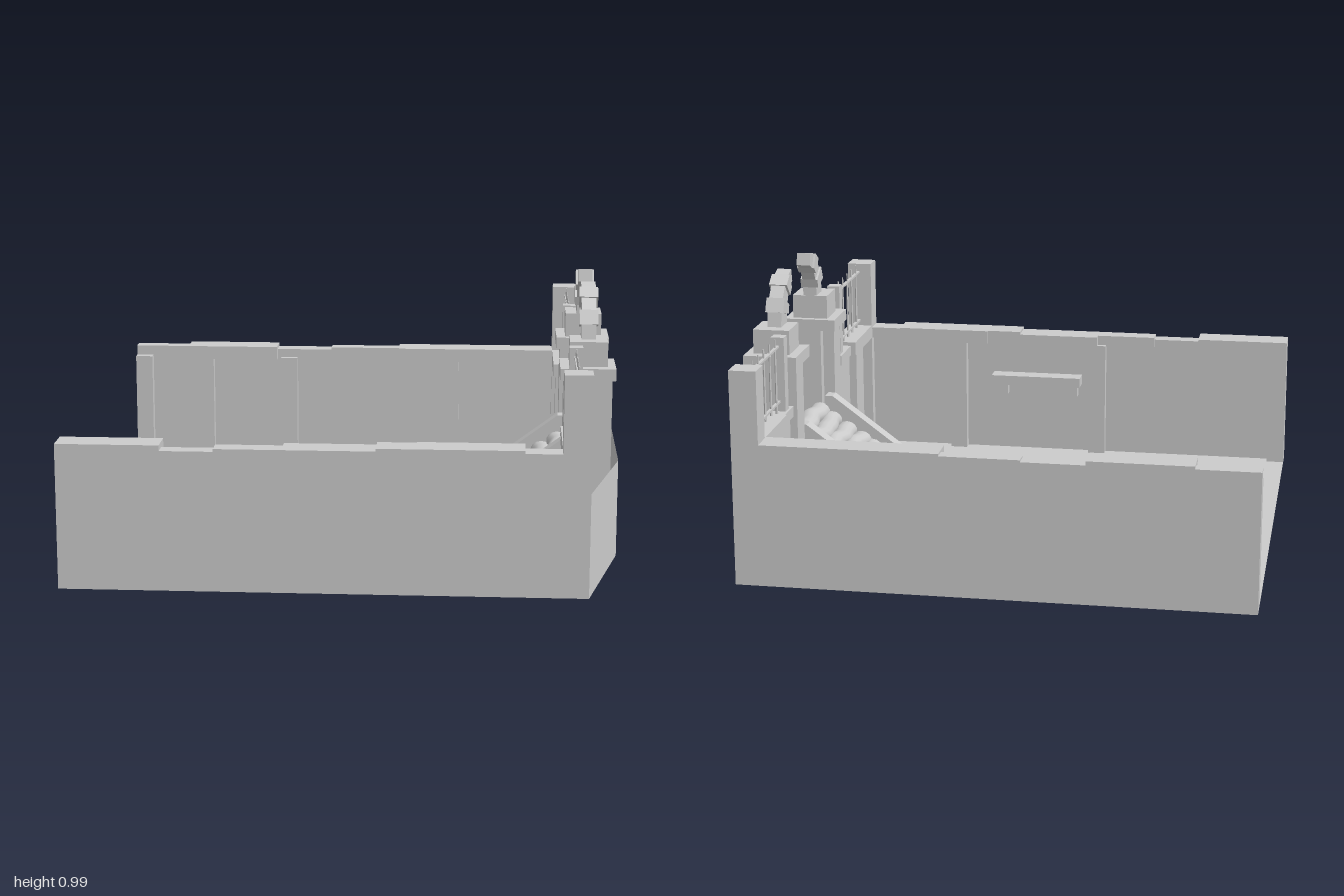
import * as THREE from 'three';

const material = new THREE.MeshStandardMaterial({ color: 0xcccccc, flatShading: true });
const smooth = new THREE.MeshStandardMaterial({ color: 0xcccccc });
const sheet = new THREE.MeshStandardMaterial({ color: 0xcccccc, flatShading: true, side: THREE.DoubleSide });

export function createModel() {
  const root = new THREE.Group();

  const add = (name, geometry, mat = material) => {
    const mesh = new THREE.Mesh(geometry, mat);
    mesh.name = name;
    root.add(mesh);
    return mesh;
  };
  // Box given by its limits; z limits may come in either order
  const box = (name, x0, x1, y0, y1, z0, z1) =>
    add(name, new THREE.BoxGeometry(x1 - x0, y1 - y0, Math.abs(z1 - z0))
      .translate((x0 + x1) / 2, (y0 + y1) / 2, (z0 + z1) / 2));
  const prism = (points, depth) => new THREE.ExtrudeGeometry(
    new THREE.Shape(points.map(([x, y]) => new THREE.Vector2(x, y))), { depth, bevelEnabled: false });

  box('floor', -1, 0.88, 0, 0.004, -0.94, 0.94);

  // Side walls: [x start, x end, top, inner z] for each coping slab, and pilaster positions
  const sides = [
    { s: 1, pilasters: [-0.965, -0.2, 0.4],
      coping: [[-1, -0.63, 0.53, 0.83], [-0.63, -0.44, 0.51, 0.88], [-0.44, -0.2, 0.52, 0.87],
        [-0.2, 0.13, 0.52, 0.835], [0.13, 0.27, 0.53, 0.84], [0.27, 0.65, 0.53, 0.83], [0.65, 0.79, 0.52, 0.86]] },
    { s: -1, pilasters: [-0.965, -0.7, -0.34, 0.35],
      coping: [[-1, -0.77, 0.52, 0.885], [-0.77, -0.39, 0.53, 0.835], [-0.39, -0.16, 0.515, 0.87],
        [-0.16, 0.13, 0.522, 0.885], [0.13, 0.79, 0.53, 0.835]] },
  ];
  for (const { s, pilasters, coping } of sides) {
    box('sideWall', -1, 0.88, 0, 0.48, s * 0.89, s * 0.94);
    for (const [x0, x1, top, inner] of coping) box('sideCoping', x0, x1, 0.475, top, s * inner, s * 0.94);
    for (const x of pilasters) box('pilaster', x - 0.035, x + 0.035, 0, 0.48, s * 0.85, s * 0.9);
  }

  // Wall shelf on two brackets
  box('shelf', -0.13, 0.25, 0.3, 0.34, 0.82, 0.9);
  for (const x of [-0.1, 0.2]) box('shelfBracket', x - 0.015, x + 0.015, 0.25, 0.3, 0.85, 0.9);

  for (const s of [1, -1]) {
    // Gate wall, its coping and the posts
    box('gateWall', 0.82, 0.88, 0, 0.48, s * 0.36, s * 0.94);
    box('gateCoping', 0.78, 0.88, 0.475, 0.53, s * 0.55, s * 0.86);
    box('gateCopingLow', 0.8, 0.88, 0.475, 0.515, s * 0.38, s * 0.55);
    box('cornerPost', 0.78, 0.88, 0, 0.8, s * 0.85, s * 0.94);
    box('fencePost', 0.81, 0.86, 0.5, 0.8, s * 0.41, s * 0.455);
    box('innerPier', 0.79, 0.83, 0, 0.48, s * 0.6, s * 0.66);

    // Iron fence
    for (const y of [0.553, 0.765]) box('fenceRail', 0.828, 0.84, y - 0.004, y + 0.004, s * 0.45, s * 0.86);
    for (const z of [0.49, 0.567, 0.645, 0.72, 0.8])
      add('fenceBar', new THREE.CylinderGeometry(0.003, 0.005, 0.29, 6).translate(0.834, 0.657, s * z));

    // Gate pillar with cross-shaped shaft
    box('pillarShaft', 0.795, 0.975, 0, 0.67, s * 0.245, s * 0.345);
    box('pillarFlange', 0.84, 0.93, 0, 0.67, s * 0.205, s * 0.388);
    box('pillarCap', 0.78, 0.985, 0.665, 0.71, s * 0.198, s * 0.4);
    box('pillarBlock', 0.815, 0.955, 0.71, 0.803, s * 0.222, s * 0.36);

    // Broken arch of tapering stones
    const n = 5;
    const at = (t, r0, r1) => {
      const a = t * 1.34, r = r0 + (r1 - r0) * t;
      return [s * (0.1 + r * Math.cos(a)), 0.802 + r * Math.sin(a)];
    };
    for (let i = 0; i < n; i++) {
      const w = i % 2 ? 0.07 : 0.054, g = i % 2 ? 0.006 : 0;
      const a = i / n, b = (i + 1) / n;
      const stone = prism([at(a, 0.125, 0.148), at(a, 0.212 + g, 0.196 + g),
        at(b, 0.212 + g, 0.196 + g), at(b, 0.125, 0.148)], w);
      add('archStone', stone.rotateY(-Math.PI / 2).translate(0.885 + w / 2, 0, 0));
    }

    // Stair side beam with end blocks
    const z = s > 0 ? 0.18 : -0.235;
    add('stairBeam', prism([[0.3, 0], [0.3, 0.035], [0.79, 0.4], [0.82, 0.4], [0.82, 0.33], [0.38, 0]], 0.055)
      .translate(0, 0, z));
    box('beamFoot', 0.295, 0.37, 0, 0.045, s * 0.178, s * 0.24);
  }

  // Stair: a sloping slab carrying worn, rounded steps
  add('stairSlab', prism([[0.3, 0], [0.3, 0.01], [0.86, 0.35], [0.86, 0.31], [0.36, 0]], 0.36).translate(0, 0, -0.18));
  for (let i = 0; i < 10; i++) {
    const geometry = new THREE.CylinderGeometry(1, 1, 0.37, 14, 12).rotateX(Math.PI / 2);
    const p = geometry.attributes.position;
    for (let k = 0; k < p.count; k++) {
      const z = p.getZ(k);
      const wave = 0.005 * Math.sin(z * 24 + i * 2.1) + 0.003 * Math.sin(z * 51 + i * 4.7);
      p.setXYZ(k, 0.345 + i * 0.0555 + p.getX(k) * 0.042 + wave,
        0.007 + i * 0.0365 + p.getY(k) * 0.036 + wave * 0.5, z);
    }
    // Keep the lowest step above the floor
    for (let k = 0; k < p.count; k++) p.setY(k, Math.max(0.001, p.getY(k)));
    geometry.computeVertexNormals();
    add('step', geometry, smooth);
  }

  // Outer embankment: a faceted upright sheet bowing out in front of the gate
  const plan = [[0.88, 0.94, 0.38], [1, 0.4, 0.366], [1, -0.4, 0.366], [0.88, -0.94, 0.38]];
  const vertices = plan.flatMap(([x, z, top]) => [x, 0, z, x, top, z]);
  const index = [];
  for (let i = 0; i < 3; i++) {
    const a = i * 2;
    index.push(a, a + 2, a + 1, a + 1, a + 2, a + 3);
  }
  const bank = new THREE.BufferGeometry();
  bank.setAttribute('position', new THREE.Float32BufferAttribute(vertices, 3));
  bank.setIndex(index);
  bank.computeVertexNormals();
  add('embankment', bank, sheet);

  return root;
}
